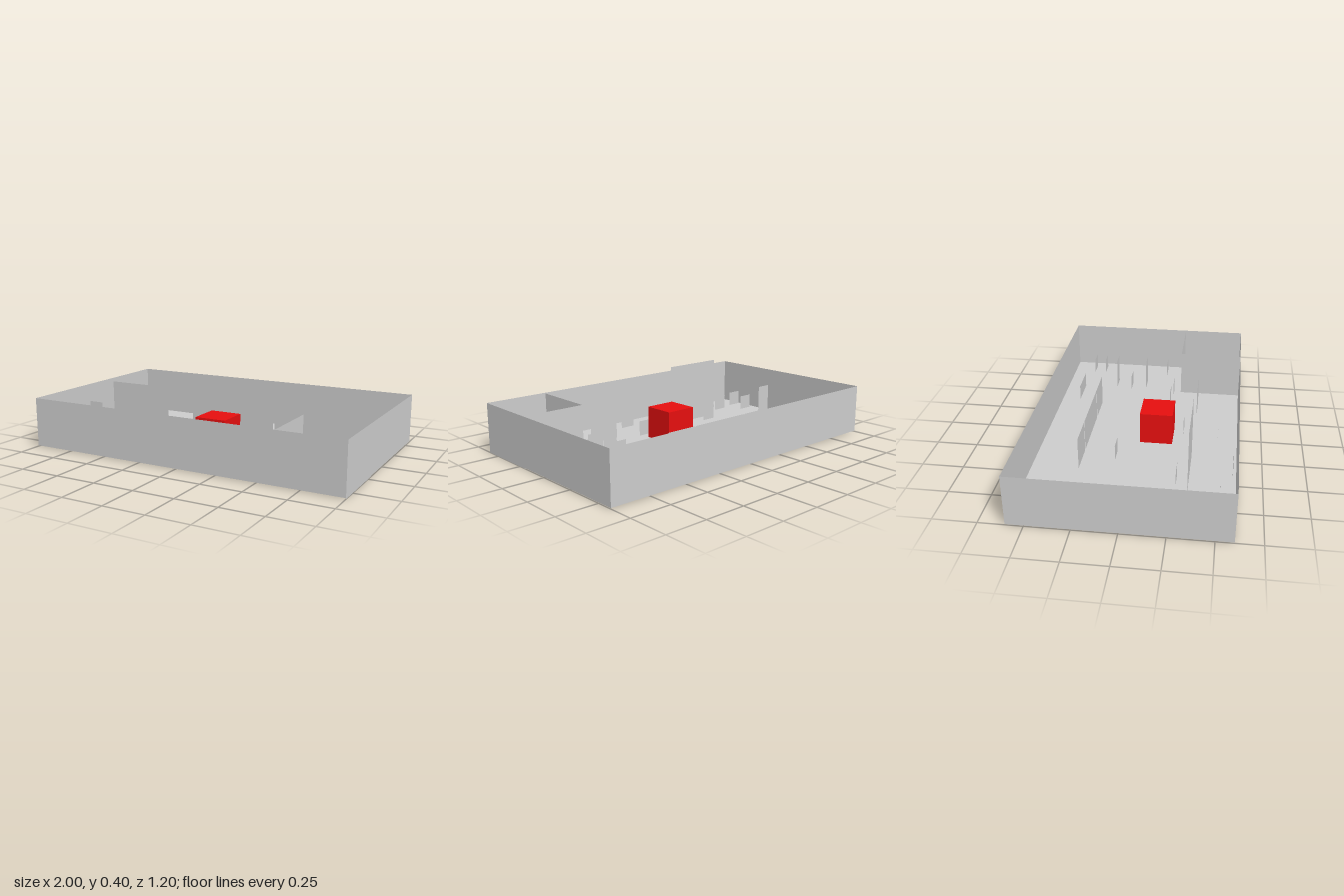
import * as THREE from 'three';

export function createModel() {
  const model = new THREE.Group();
  model.name = 'roomLayout';

  const grey = new THREE.MeshStandardMaterial({ color: 0xcccccc, side: THREE.DoubleSide });
  grey.name = 'plain grey';
  const red = new THREE.MeshStandardMaterial({ color: 0xe60f0f });
  red.name = 'bright red';

  const FLOOR = 0.005;

  // Upright sheet of width w and height h, standing on y; turned to face x if side is true
  function sheet(name, x, z, w, h, y = 0, side = false, parent = model) {
    const geometry = new THREE.PlaneGeometry(w, h);
    if (side) geometry.rotateY(Math.PI / 2);
    const mesh = new THREE.Mesh(geometry, grey);
    mesh.name = name;
    mesh.position.set(x, y + h / 2, z);
    parent.add(mesh);
    return mesh;
  }

  // Floor
  const floor = new THREE.Mesh(new THREE.PlaneGeometry(2, 1.2).rotateX(-Math.PI / 2), grey);
  floor.name = 'floor';
  floor.position.y = FLOOR;
  model.add(floor);

  // Outer walls
  sheet('frontWall', 0, 0.6, 2, 0.3, FLOOR);
  sheet('backWall', 0, -0.6, 2, 0.3, FLOOR);
  sheet('rightWall', -1, 0, 1.2, 0.3, FLOOR, true);
  sheet('leftWall', 1, -0.2, 0.8, 0.3, FLOOR, true);

  // Corner room
  const room = new THREE.Group();
  room.name = 'cornerRoom';
  model.add(room);
  sheet('roomBackWall', 0.8, 0.2, 0.4, 0.3, 0, false, room);
  sheet('roomInnerWall', 0.6, 0.4, 0.4, 0.3, 0, true, room);
  sheet('roomOuterWall', 1, 0.4, 0.4, 0.305, 0, true, room);

  // Central block
  const block = new THREE.Mesh(new THREE.BoxGeometry(0.2, 0.2, 0.2), red);
  block.name = 'centralBlock';
  block.position.set(0, FLOOR + 0.1, 0.1);
  model.add(block);

  // Large standing panels: x, z, width, height
  const panels = [
    [-0.41, 0.33, 0.4, 0.4],
    [-0.335, -0.32, 0.2, 0.2],
    [-0.025, -0.32, 0.4, 0.2],
    [0.285, -0.32, 0.2, 0.2],
    [0.355, 0.33, 0.2, 0.2],
    [0.517, -0.48, 0.2, 0.1],
  ];
  for (const [x, z, w, h] of panels) sheet('standingPanel', x, z, w, h);

  // Tall narrow cards: x, z
  const tallCards = [[-0.914, 0.127], [0.684, -0.255], [0.69, -0.05]];
  for (const [x, z] of tallCards) sheet('tallCard', x, z, 0.1, 0.2);

  // Small square cards: x, z
  const smallCards = [
    [0.9, -0.454], [0.9, -0.376], [0.66, -0.15], [0.89, 0.08],
    [0.579, 0.154], [0.449, 0.141], [-0.27, -0.122], [0.073, 0.261],
    [0.05, 0.48], [-0.495, 0.26], [-0.36, 0.58], [-0.758, 0.41],
    [-0.63, 0.514], [-0.914, 0.303], [-0.94, 0.44],
    [0.8, 0.48], [0.93, 0.53], [0.94, 0.4],
  ];
  for (const [x, z] of smallCards) sheet('smallCard', x, z, 0.1, 0.1);

  return model;
}
